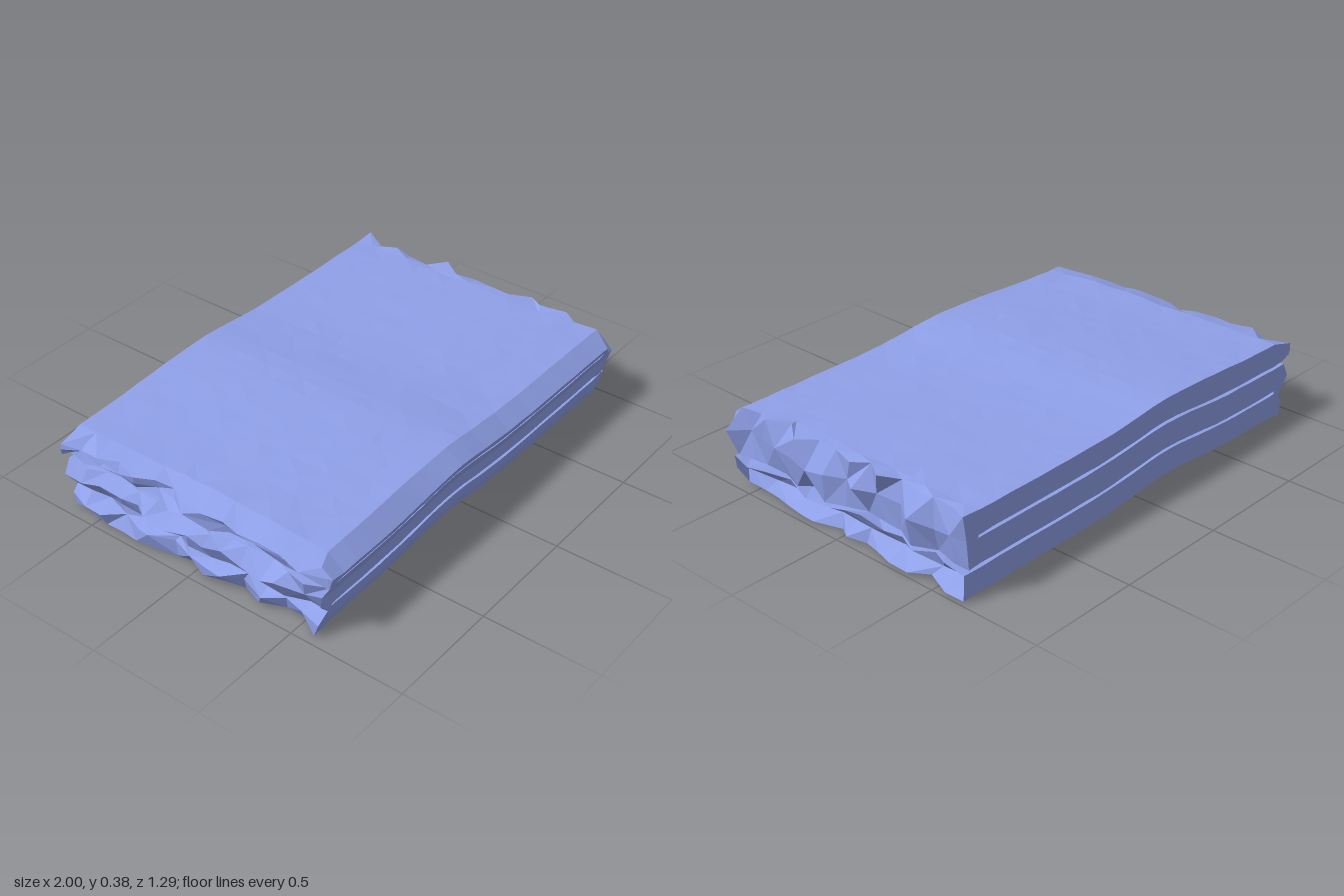
import * as THREE from 'three';

const STEPS = 22;      // spans along each layer
const ROWS = 14;       // spans from back to front
const BACK = -0.645;

// repeatable noise in -1..1
const noise = (a, b) => {
  const s = Math.sin(a * 127.1 + b * 311.7) * 43758.5453;
  return (s - Math.floor(s)) * 2 - 1;
};

// gentle hump running across the whole stack, broader on the upper layer
const hump = (x, y) => {
  const width = x < -0.17 && y > 0.3 ? 0.45 : 0.26;
  return 0.031 * Math.exp(-(((x + 0.17) / width) ** 2));
};

// slanted front edge: depth as a function of height
const EDGE = [[0, 0.57], [0.04, 0.592], [0.115, 0.606], [0.17, 0.6], [0.25, 0.635], [0.28, 0.648], [0.35, 0.57]];
function frontZ(y) {
  for (let i = 1; i < EDGE.length; i++) {
    const [y0, z0] = EDGE[i - 1], [y1, z1] = EDGE[i];
    if (y <= y1) return THREE.MathUtils.lerp(z0, z1, (y - y0) / (y1 - y0));
  }
  return 0.57;
}

// S-shaped fold as pairs of points, one on each face of the cloth
function foldPairs() {
  const pairs = [];
  const layer = (x0, x1, ya, yb) => {
    for (let i = 0; i <= STEPS; i++) {
      const x = THREE.MathUtils.lerp(x0, x1, i / STEPS);
      pairs.push([[x, ya], [x, yb]]);
    }
  };
  pairs.push([[-0.95, 0.325], [-0.95, 0.255]]);
  layer(-0.87, 0.9, 0.348, 0.25);                 // top layer
  pairs.push([[0.955, 0.346], [0.905, 0.249]]);   // right fold
  pairs.push([[0.972, 0.238], [0.91, 0.243]]);
  pairs.push([[0.95, 0.127], [0.905, 0.237]]);
  layer(0.9, -0.88, 0.127, 0.236);                // middle layer
  pairs.push([[-0.885, 0.126], [-0.94, 0.23]]);   // left fold
  pairs.push([[-0.89, 0.121], [-0.975, 0.175]]);
  pairs.push([[-0.89, 0.118], [-0.935, 0.1]]);
  pairs.push([[-0.885, 0.116], [-0.955, 0.07]]);
  pairs.push([[-0.88, 0.115], [-0.94, 0.009]]);
  layer(-0.87, 0.965, 0.114, 0.01);               // bottom layer
  return pairs;
}

function clothGeometry() {
  const pairs = foldPairs();
  const n = pairs.length;
  const between = ([a, b], t) => [a[0] + (b[0] - a[0]) * t, a[1] + (b[1] - a[1]) * t];
  const middle = pairs.map((p) => between(p, p[0][1] > 0.3 ? 0.68 : 0.5));
  const startTip = [-0.962, 0.295], endTip = [0.915, 0.06];
  // closed outline: one face, free end, other face, other free end
  const outline = [...pairs.map((p) => p[0]), endTip, ...pairs.map((p) => p[1]).reverse(), startTip];
  const m = outline.length;
  const positions = [], index = [];

  function addPoint([x, y], s, key, row) {
    const rough = Math.abs(x) > 0.93 ? 1 : Math.abs(x) > 0.84 ? 0.25 : 0;
    const droop = y > 0.3 ? 0.014 * THREE.MathUtils.smoothstep(s, 0.7, 1) : 0;
    const px = THREE.MathUtils.clamp(x + 0.032 * rough * noise(key, row), -1, 1);
    const py = y + hump(x, y) - droop + (0.0015 + 0.011 * rough) * noise(key + 50, row);
    const pz = THREE.MathUtils.lerp(BACK, frontZ(y), s) +
      (row > 0 && row < ROWS ? 0.02 * noise(key, row + 90) : 0);
    positions.push(px, Math.max(0, py), pz);
  }

  // cloth surface
  for (let j = 0; j <= ROWS; j++) outline.forEach((p, i) => addPoint(p, j / ROWS, i, j));
  for (let j = 0; j < ROWS; j++) {
    for (let i = 0; i < m; i++) {
      const k = (i + 1) % m;
      const a = j * m + i, b = j * m + k, c = a + m, d = b + m;
      if ((i + j) % 2) index.push(a, c, b, b, c, d);
      else index.push(a, c, d, a, d, b);
    }
  }

  // front and back edges, with a ridge line along the middle of each layer
  for (const row of [0, ROWS]) {
    const ring = row * m, base = positions.length / 3;
    middle.forEach((p, i) => addPoint(p, row / ROWS, i, row));
    const A = (i) => ring + i, M = (i) => base + i, B = (i) => ring + m - 2 - i;
    const tri = (a, b, c) => (row ? index.push(a, b, c) : index.push(a, c, b));
    for (let i = 0; i < n - 1; i++) {
      for (const [P, Q] of [[A, M], [M, B]]) {
        tri(P(i), Q(i), Q(i + 1));
        tri(P(i), Q(i + 1), P(i + 1));
      }
    }
    tri(A(0), ring + m - 1, M(0));
    tri(M(0), ring + m - 1, B(0));
    tri(A(n - 1), M(n - 1), ring + n);
    tri(M(n - 1), B(n - 1), ring + n);
  }

  const g = new THREE.BufferGeometry();
  g.setAttribute('position', new THREE.Float32BufferAttribute(positions, 3));
  g.setIndex(index);
  g.computeVertexNormals();
  return g;
}

export function createModel() {
  const group = new THREE.Group();
  group.name = 'foldedBlanket';
  const material = new THREE.MeshStandardMaterial({ color: 0x8fa0e8, flatShading: true, side: THREE.DoubleSide });
  const cloth = new THREE.Mesh(clothGeometry(), material);
  cloth.name = 'foldedCloth';
  group.add(cloth);
  return group;
}
